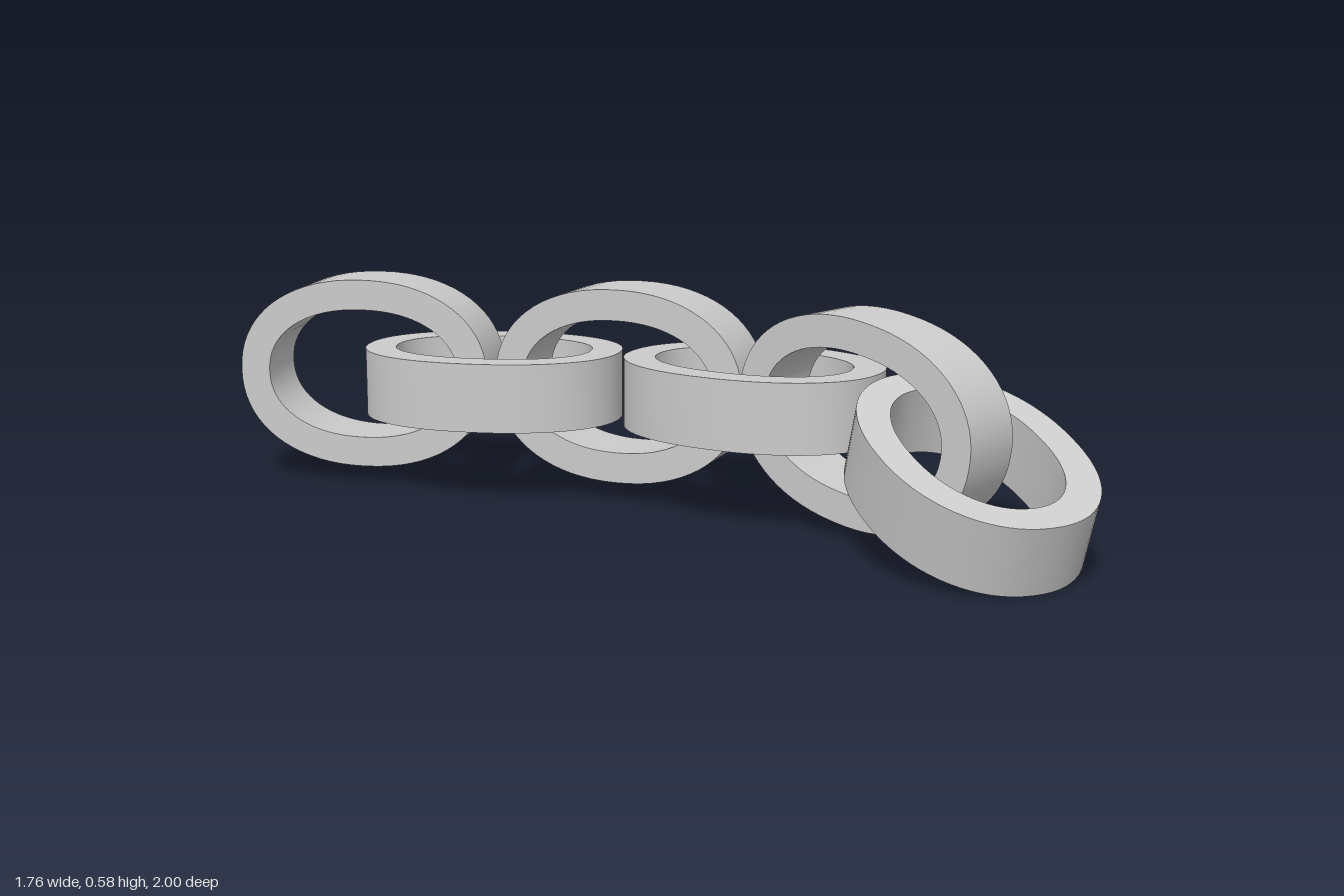
import * as THREE from 'three';
import { toCreasedNormals } from 'three/addons/utils/BufferGeometryUtils.js';

const HALF_LENGTH = 0.358, HALF_WIDTH = 0.263, BAND = 0.083, DEPTH = 0.185;

// Slightly full oval outline
function oval(a, b, n = 2.18, count = 72) {
  const power = v => Math.sign(v) * Math.abs(v) ** (2 / n);
  return Array.from({ length: count }, (_, i) => {
    const t = (i / count) * Math.PI * 2;
    return new THREE.Vector2(a * power(Math.cos(t)), b * power(Math.sin(t)));
  });
}

// Flat-sided oval band, long axis on x, centred on the origin
function linkGeometry() {
  const shape = new THREE.Shape(oval(HALF_LENGTH, HALF_WIDTH));
  shape.holes.push(new THREE.Path(oval(HALF_LENGTH - BAND, HALF_WIDTH - BAND)));
  const geometry = new THREE.ExtrudeGeometry(shape, { depth: DEPTH, bevelEnabled: false });
  geometry.translate(0, 0, -DEPTH / 2);
  return toCreasedNormals(geometry, 0.7);
}

export function createModel() {
  const chain = new THREE.Group();
  chain.name = 'chain';
  const geometry = linkGeometry();
  const material = new THREE.MeshStandardMaterial({ color: 0xcccccc });

  // Links from back to front: centre, heading and downward pitch in degrees
  const links = [
    { at: [-0.527, 0.313, -0.732], heading: 32.1, pitch: 0 },
    { at: [-0.235, 0.298, -0.52], heading: 32, pitch: 0 },
    { at: [0.075, 0.317, -0.28], heading: 42.8, pitch: 0 },
    { at: [0.325, 0.31, -0.012], heading: 51.5, pitch: 0 },
    { at: [0.51, 0.3, 0.312], heading: 62.6, pitch: 10 },
    { at: [0.613, 0.208, 0.63], heading: 90, pitch: 19 },
  ];
  links.forEach(({ at, heading, pitch }, i) => {
    const flat = i % 2 === 1; // every second link lies on its side
    const link = new THREE.Mesh(geometry, material);
    link.name = (flat ? 'flatLink' : 'uprightLink') + (i + 1);
    link.position.set(...at);
    link.rotation.set(
      flat ? Math.PI / 2 : 0,
      -THREE.MathUtils.degToRad(heading),
      -THREE.MathUtils.degToRad(pitch),
      'YZX'
    );
    chain.add(link);
  });
  return chain;
}
